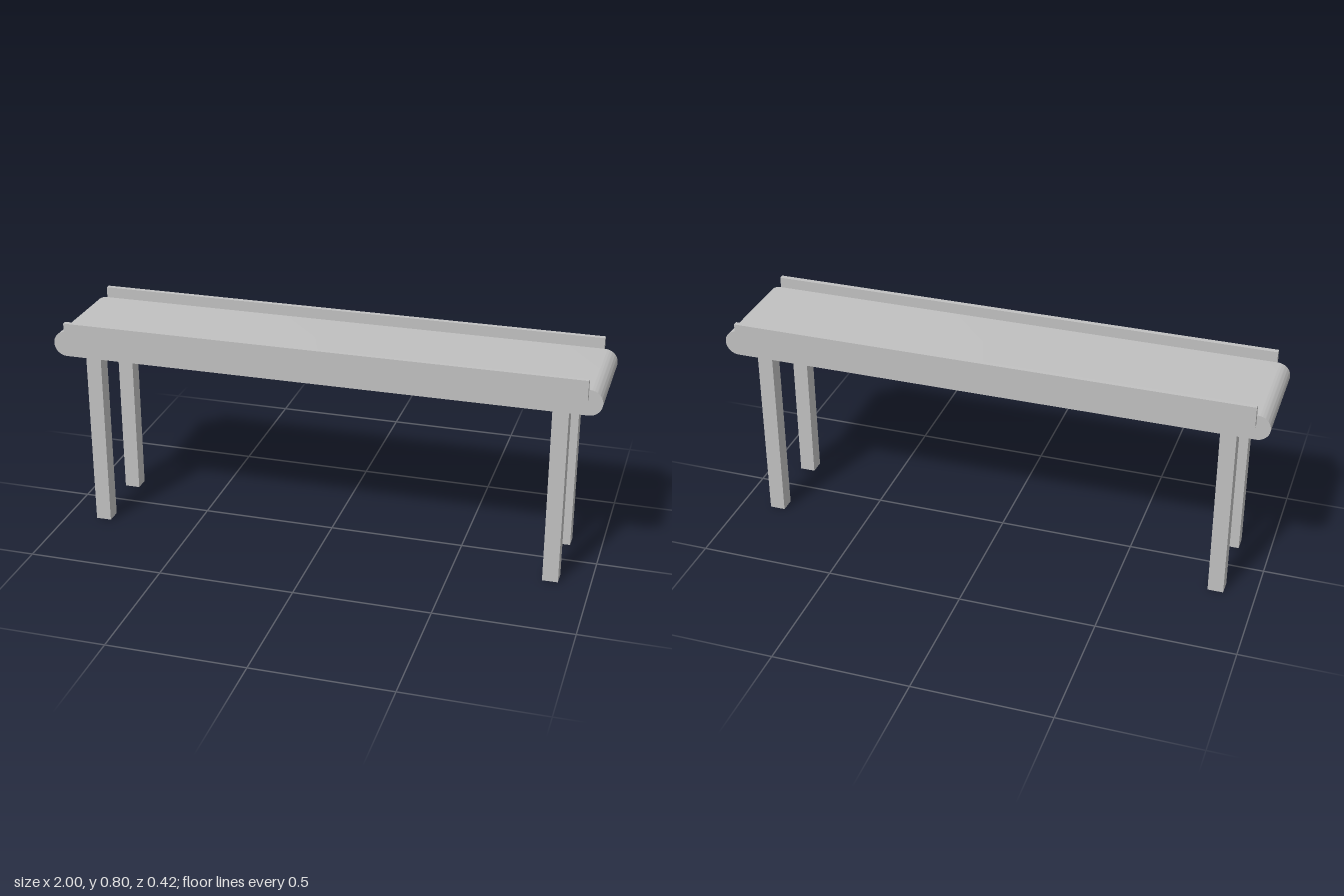
import * as THREE from 'three';
import { toCreasedNormals } from 'three/addons/utils/BufferGeometryUtils.js';

const BELT_WIDTH = 0.38, BELT_RADIUS = 0.047, BELT_Y = 0.715;
const LEG_HEIGHT = BELT_Y - BELT_RADIUS, LEG_SIZE = 0.057;
const RAIL_HEIGHT = 0.075, RAIL_THICKNESS = 0.019;

export function createModel() {
  const group = new THREE.Group();
  group.name = 'conveyorTable';

  const grey = new THREE.MeshStandardMaterial({ color: 0xc0c0c0 });
  grey.name = 'light grey';

  const addPart = (name, geometry, x, y, z) => {
    const mesh = new THREE.Mesh(geometry, grey);
    mesh.name = name;
    mesh.position.set(x, y, z);
    group.add(mesh);
  };

  // Belt: a long slab with round ends, smooth around the ends
  const end = 1 - BELT_RADIUS;
  const outline = new THREE.Shape();
  outline.absarc(end, 0, BELT_RADIUS, -Math.PI / 2, Math.PI / 2, false);
  outline.absarc(-end, 0, BELT_RADIUS, Math.PI / 2, Math.PI * 1.5, false);
  outline.closePath();
  const belt = new THREE.ExtrudeGeometry(outline, {
    depth: BELT_WIDTH, bevelEnabled: false, curveSegments: 24,
  });
  belt.translate(0, 0, -BELT_WIDTH / 2);
  addPart('belt', toCreasedNormals(belt, Math.PI / 6), 0, BELT_Y, 0);

  // Guide rails along both sides, and a leg near each corner
  const rail = new THREE.BoxGeometry(1.9, RAIL_HEIGHT, RAIL_THICKNESS);
  const leg = new THREE.BoxGeometry(LEG_SIZE, LEG_HEIGHT, LEG_SIZE);
  for (const [sideName, sz] of [['front', 1], ['back', -1]]) {
    addPart(`${sideName}Rail`, rail, 0, 0.7645, sz * (BELT_WIDTH + RAIL_THICKNESS) / 2);
    for (const [endName, sx] of [['Left', 1], ['Right', -1]]) {
      addPart(`${sideName}${endName}Leg`, leg, sx * 0.857, LEG_HEIGHT / 2, sz * 0.143);
    }
  }

  return group;
}
